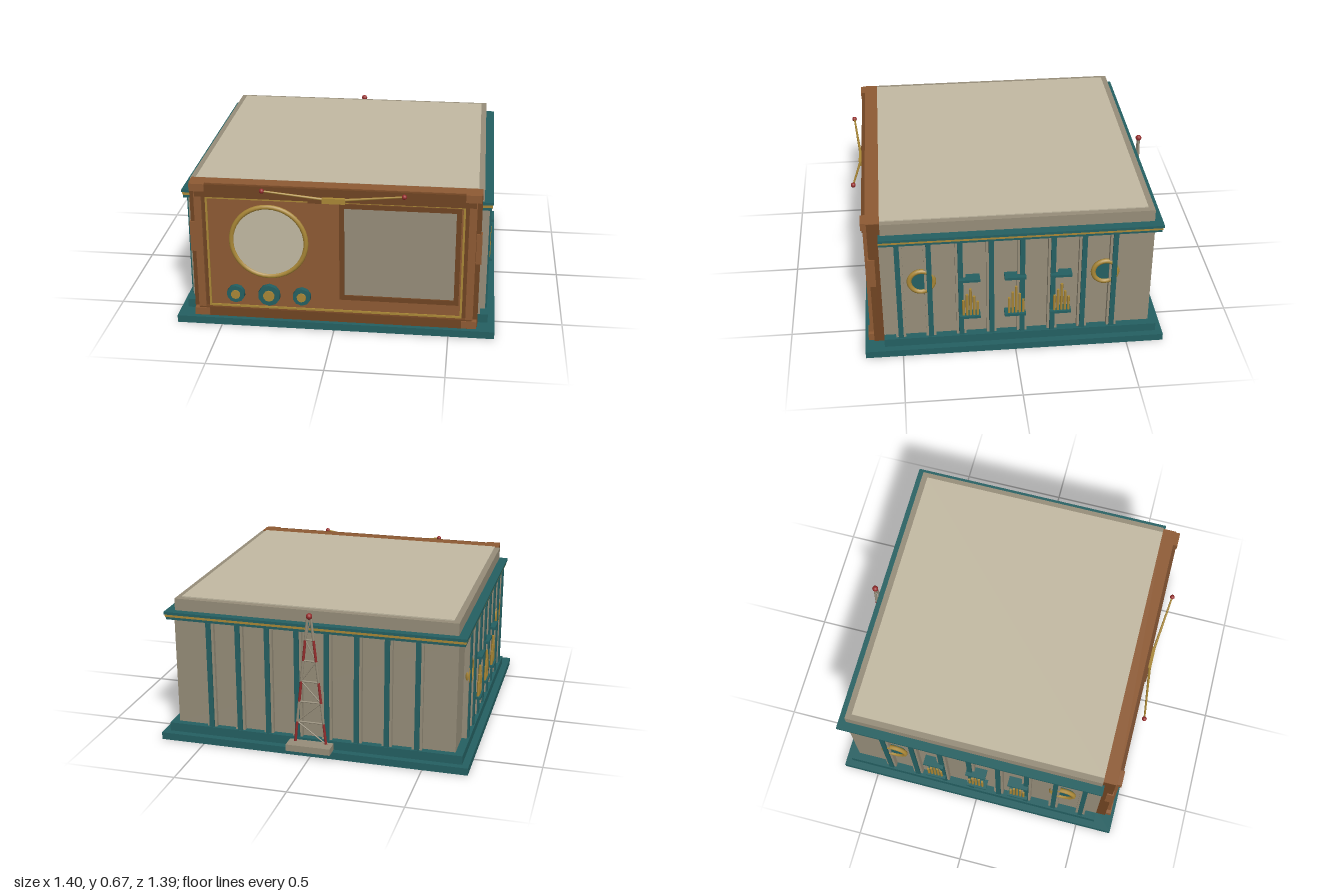
import * as THREE from 'three';

const mat = (name, color, extra = {}) => new THREE.MeshStandardMaterial({ name, color, ...extra });

export function createModel() {
  const teal = mat('teal', 0x246062), cream = mat('cream', 0xc2b9a2), stone = mat('stone', 0x968d79);
  const wood = mat('wood', 0x8e5a33), darkWood = mat('dark wood', 0x704422);
  const gold = mat('gold', 0xa98736), red = mat('red', 0x962c2c);
  const root = new THREE.Group();
  root.name = 'building';

  const add = (name, geo, m, parent = root) => {
    const mesh = new THREE.Mesh(geo, m);
    mesh.name = name;
    parent.add(mesh);
    return mesh;
  };
  // box given by its limits
  const box = (name, m, x0, x1, y0, y1, z0, z1, parent = root) => {
    const b = add(name, new THREE.BoxGeometry(x1 - x0, y1 - y0, z1 - z0), m, parent);
    b.position.set((x0 + x1) / 2, (y0 + y1) / 2, (z0 + z1) / 2);
    return b;
  };
  // round bar between two points
  const bar = (name, m, a, b, r, parent = root, r2 = r) => {
    const p = new THREE.Vector3(...a), q = new THREE.Vector3(...b), d = q.clone().sub(p);
    const c = add(name, new THREE.CylinderGeometry(r2, r, d.length(), 8), m, parent);
    c.position.copy(p).add(q).multiplyScalar(0.5);
    c.quaternion.setFromUnitVectors(new THREE.Vector3(0, 1, 0), d.normalize());
    return c;
  };
  const ball = (name, m, p, r, parent = root) =>
    add(name, new THREE.SphereGeometry(r, 10, 8), m, parent).position.set(...p);
  // disc whose axis points along z
  const disc = (name, m, x, y, z, r, depth, sides, parent = root) => {
    const d = add(name, new THREE.CylinderGeometry(r, r, depth, sides), m, parent);
    d.rotation.x = Math.PI / 2;
    d.position.set(x, y, z);
    return d;
  };
  // rectangular frame facing +z
  const frame = (name, m, x0, x1, y0, y1, w, z0, z1) => {
    const g = new THREE.Group();
    g.name = name;
    root.add(g);
    box(name + 'Bottom', m, x0, x1, y0, y0 + w, z0, z1, g);
    box(name + 'Top', m, x0, x1, y1 - w, y1, z0, z1, g);
    box(name + 'Left', m, x0, x0 + w, y0 + w, y1 - w, z0, z1, g);
    box(name + 'Right', m, x1 - w, x1, y0 + w, y1 - w, z0, z1, g);
  };

  // plinth, body and roof
  box('basePlate', teal, -0.7, 0.7, 0.002, 0.035, -0.665, 0.665);
  box('underside', stone, -0.62, 0.62, 0, 0.004, -0.59, 0.59);
  box('baseStep', teal, -0.67, 0.67, 0.035, 0.075, -0.635, 0.58);
  box('walls', stone, -0.635, 0.635, 0.075, 0.575, -0.605, 0.58);
  box('corniceLower', teal, -0.665, 0.665, 0.57, 0.582, -0.63, 0.58);
  box('corniceTrim', gold, -0.668, 0.668, 0.582, 0.594, -0.633, 0.58);
  box('corniceUpper', teal, -0.672, 0.672, 0.594, 0.606, -0.637, 0.58);
  box('parapet', stone, -0.632, 0.632, 0.606, 0.66, -0.602, 0.57);
  box('roof', cream, -0.607, 0.607, 0.655, 0.665, -0.575, 0.57);

  // pilasters with teal strips on the back wall
  for (let i = 0; i < 8; i++) {
    const x = -0.469 + i * 0.134;
    box('backPilaster', stone, x - 0.022, x + 0.022, 0.075, 0.57, -0.624, -0.6);
    box('backStrip', teal, x - 0.011, x + 0.011, 0.075, 0.57, -0.632, -0.62);
  }

  // pilasters, shelves, pipes and portholes on both sides
  for (const s of [1, -1]) {
    const side = new THREE.Group();
    side.name = s > 0 ? 'leftSide' : 'rightSide';
    root.add(side);
    const sideBox = (name, m, a, b, y0, y1, z0, z1) =>
      box(name, m, Math.min(s * a, s * b), Math.max(s * a, s * b), y0, y1, z0, z1, side);
    for (let i = 0; i < 8; i++) {
      const z = 0.505 - i * 0.134;
      sideBox('sidePilaster', stone, 0.63, 0.657, 0.075, 0.57, z - 0.022, z + 0.022);
      sideBox('sideStrip', teal, 0.65, 0.665, 0.075, 0.57, z - 0.011, z + 0.011);
    }
    for (const z of [0.2, 0, -0.2]) {
      sideBox('upperShelf', teal, 0.63, 0.682, 0.372, 0.384, z - 0.047, z + 0.047);
      sideBox('lowerShelf', teal, 0.63, 0.682, 0.175, 0.187, z - 0.047, z + 0.047);
      [0.07, 0.1, 0.14, 0.11, 0.08].forEach((h, i) => {
        const pz = z - 0.035 + i * 0.0155;
        bar('pipe', gold, [s * 0.668, 0.187, pz], [s * 0.668, 0.187 + h, pz], 0.006, side);
      });
    }
    for (const z of [0.405, -0.395]) {
      const ring = add('portholeRing', new THREE.TorusGeometry(0.053, 0.011, 8, 24), gold, side);
      ring.rotation.y = Math.PI / 2;
      ring.position.set(s * 0.65, 0.37, z);
      const glass = add('portholeGlass', new THREE.CylinderGeometry(0.049, 0.049, 0.016, 24), teal, side);
      glass.rotation.z = Math.PI / 2;
      glass.position.set(s * 0.643, 0.37, z);
    }
  }

  // wooden front with posts, rails and gold border
  box('frontCase', darkWood, -0.625, 0.625, 0.035, 0.66, 0.57, 0.625);
  box('frontCaseTop', wood, -0.625, 0.625, 0.658, 0.664, 0.57, 0.63);
  box('frontPanel', wood, -0.556, 0.556, 0.078, 0.602, 0.6, 0.632);
  box('topRail', darkWood, -0.6, 0.6, 0.604, 0.662, 0.62, 0.645);
  box('bottomRail', darkWood, -0.6, 0.6, 0.035, 0.077, 0.62, 0.645);
  for (const s of [1, -1]) {
    const x = s * 0.588;
    box('frontPost', wood, x - 0.016, x + 0.016, 0.07, 0.635, 0.62, 0.642);
    for (const y of [0.038, 0.63])
      box('postBlock', wood, x - 0.033, x + 0.033, y, y + 0.034, 0.61, 0.65);
    box('sideInlay', wood, s * 0.618 - 0.012, s * 0.618 + 0.012, 0.34, 0.48, 0.6, 0.63);
  }
  frame('goldBorder', gold, -0.556, 0.556, 0.08, 0.604, 0.009, 0.628, 0.638);

  // screen
  frame('screenFrame', darkWood, 0.023, 0.54, 0.145, 0.598, 0.021, 0.628, 0.645);
  box('screen', stone, 0.04, 0.522, 0.162, 0.58, 0.63, 0.637);

  // dial and knobs
  disc('dialFace', cream, -0.285, 0.403, 0.635, 0.16, 0.01, 32);
  const dialRing = add('dialRing', new THREE.TorusGeometry(0.163, 0.011, 8, 40), gold);
  dialRing.position.set(-0.285, 0.403, 0.637);
  for (const [x, r] of [[-0.435, 0.04], [-0.287, 0.049], [-0.143, 0.04]]) {
    disc('knob', teal, x, 0.15, 0.642, r, 0.024, 10);
    disc('knobCap', gold, x, 0.15, 0.654, r * 0.52, 0.012, 10);
  }

  // twin aerial
  box('aerialMount', gold, -0.05, 0.05, 0.602, 0.626, 0.635, 0.66);
  box('aerialClip', darkWood, -0.11, -0.05, 0.598, 0.616, 0.635, 0.652);
  for (const s of [1, -1]) {
    bar('aerialRod', gold, [s * 0.03, 0.618, 0.652], [s * 0.3, 0.657, 0.68], 0.006, root, 0.004);
    ball('aerialTip', red, [s * 0.3, 0.657, 0.68], 0.011);
  }

  // lattice mast on a small platform at the back
  const mast = new THREE.Group();
  mast.name = 'mast';
  root.add(mast);
  box('mastPlatform', stone, -0.1, 0.1, 0.035, 0.065, -0.7, -0.585, mast);
  const z = -0.652, n = 6;
  const at = (t, s) => [s * (0.07 - 0.062 * t), 0.065 + 0.575 * t, z];
  for (let i = 0; i < n; i++) {
    const t0 = i / n, t1 = (i + 1) / n;
    for (const s of [1, -1]) bar('mastLeg', i % 2 ? stone : red, at(t0, s), at(t1, s), 0.006, mast);
    bar('mastRung', stone, at(t1, -1), at(t1, 1), 0.004, mast);
    bar('mastBrace', stone, at(t0, i % 2 ? 1 : -1), at(t1, i % 2 ? -1 : 1), 0.003, mast);
  }
  ball('mastLight', red, [0, 0.651, z], 0.014, mast);

  return root;
}
